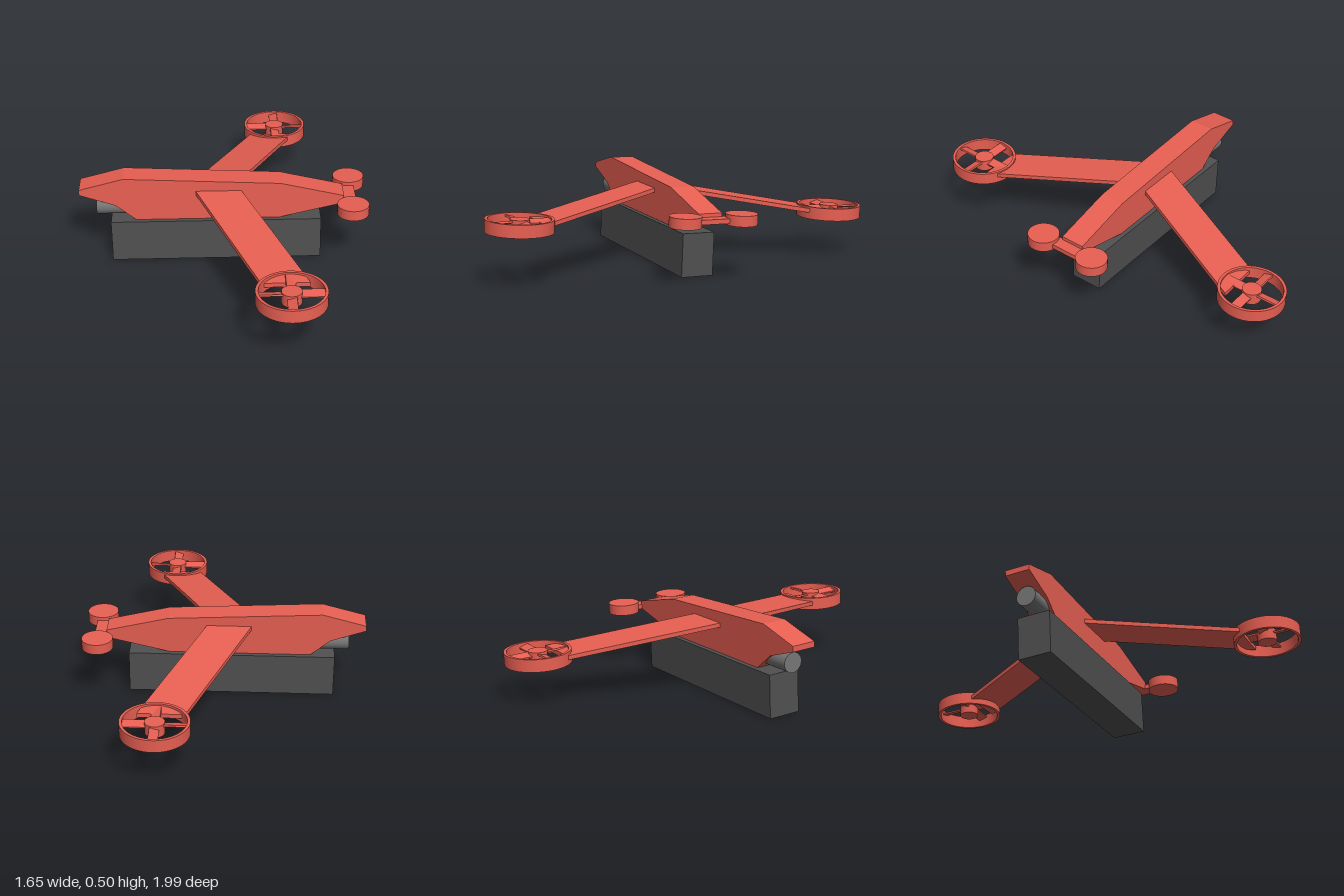
import * as THREE from 'three';
import { toCreasedNormals } from 'three/addons/utils/BufferGeometryUtils.js';

const red = new THREE.MeshStandardMaterial({ color: 0xe85f52 });
const dark = new THREE.MeshStandardMaterial({ color: 0x505050 });
const grey = new THREE.MeshStandardMaterial({ color: 0x777777 });

function add(parent, name, geometry, material, x = 0, y = 0, z = 0) {
  const mesh = new THREE.Mesh(geometry, material);
  mesh.name = name;
  mesh.position.set(x, y, z);
  parent.add(mesh);
  return mesh;
}

// Side profile extruded across the body, centred on z = 0
function makeHull() {
  const shape = new THREE.Shape([
    [-0.965, 0.4], [-0.77, 0.333], [-0.66, 0.242], [0.134, 0.242], [0.487, 0.325],
    [0.487, 0.37], [0.138, 0.453], [-0.722, 0.495], [-0.965, 0.431],
  ].map(([x, y]) => new THREE.Vector2(x, y)));
  const g = new THREE.ExtrudeGeometry(shape, { depth: 0.138, bevelEnabled: false });
  return g.translate(0, 0, -0.069);
}

// Swept, drooping arm: a box sheared along its length
function makeArm(side) {
  const length = 0.838;
  const g = new THREE.BoxGeometry(0.25, 0.024, length);
  g.translate(0, 0, side * length / 2);
  const p = g.attributes.position;
  for (let i = 0; i < p.count; i++) {
    const d = Math.abs(p.getZ(i));
    p.setX(i, p.getX(i) - 0.232 + 0.427 * d);
    p.setY(i, p.getY(i) + 0.411 - 0.142 * d);
  }
  g.computeVertexNormals();
  return g;
}

// Ring duct with a hub and four pitched blades
function makeRotor(side) {
  const rotor = new THREE.Group();
  rotor.name = side > 0 ? 'leftRotor' : 'rightRotor';
  const ring = new THREE.Shape().absarc(0, 0, 0.183, 0, Math.PI * 2);
  ring.holes.push(new THREE.Path().absarc(0, 0, 0.167, 0, Math.PI * 2, true));
  let duct = new THREE.ExtrudeGeometry(ring, { depth: 0.07, bevelEnabled: false, curveSegments: 40 });
  duct.translate(0, 0, -0.035).rotateX(-Math.PI / 2);
  duct = toCreasedNormals(duct, 0.6);
  add(rotor, 'duct', duct, red);
  add(rotor, 'hub', new THREE.CylinderGeometry(0.053, 0.053, 0.065, 32), red);
  for (let i = 0; i < 4; i++) {
    const blade = new THREE.BoxGeometry(0.14, 0.01, 0.052);
    blade.rotateX(side * 0.3).translate(0.1, 0.015, 0).rotateY(i * Math.PI / 2);
    add(rotor, 'blade', blade, red);
  }
  rotor.position.set(0.149, 0.289, side * 0.938);
  return rotor;
}

export function createModel() {
  const model = new THREE.Group();
  model.name = 'aircraft';

  // Craft built along x, then turned and slightly rolled
  const craft = new THREE.Group();
  craft.name = 'craft';
  craft.rotation.set(-0.043, Math.PI / 6, 0, 'YXZ');
  craft.position.set(0.047, 0.004, 0.081);
  model.add(craft);

  add(craft, 'hull', makeHull(), red);
  add(craft, 'cargoBox', new THREE.BoxGeometry(1.158, 0.24, 0.185), dark, -0.218, 0.12, 0);

  // Tail engine under the rear overhang
  const engine = new THREE.CylinderGeometry(0.055, 0.055, 0.3, 32).rotateZ(Math.PI / 2);
  add(craft, 'engine', engine, grey, -0.725, 0.309, 0);

  // Nose crossbar with a pod on each end
  add(craft, 'noseBar', new THREE.BoxGeometry(0.075, 0.026, 0.3), red, 0.5165, 0.337, 0);

  for (const side of [1, -1]) {
    const label = side > 0 ? 'left' : 'right';
    add(craft, label + 'Arm', makeArm(side), red);
    craft.add(makeRotor(side));
    add(craft, label + 'NosePod', new THREE.CylinderGeometry(0.087, 0.087, 0.058, 40), red,
      0.529, 0.342, side * 0.165);
  }
  return model;
}
